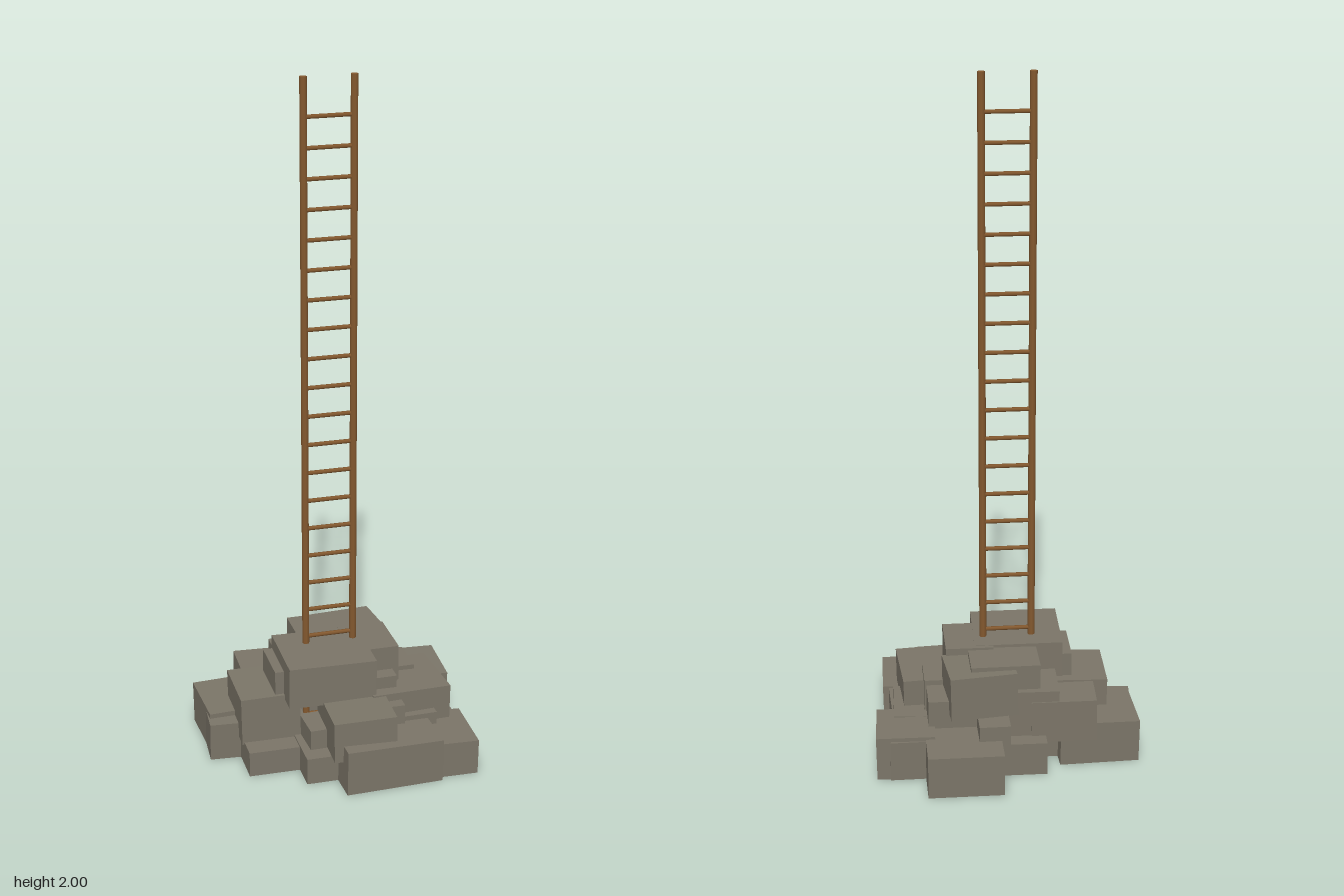
import * as THREE from 'three';

const stone = new THREE.MeshStandardMaterial({ color: 0x7b7568 });
stone.name = 'stone';
const wood = new THREE.MeshStandardMaterial({ color: 0x84592f });
wood.name = 'wood';

// A rough slab given by its extents, then turned (degrees) and cut flat at the ground
function block(name, [x0, x1, y0, y1, z0, z1, yaw = 0, roll = 0, pitch = 0]) {
  const rad = THREE.MathUtils.degToRad;
  let g = new THREE.BoxGeometry(x1 - x0, y1 - y0, z1 - z0);
  g.applyMatrix4(new THREE.Matrix4().makeRotationFromEuler(
    new THREE.Euler(rad(pitch), rad(yaw), rad(roll), 'YXZ')));
  g.translate((x0 + x1) / 2, (y0 + y1) / 2, (z0 + z1) / 2);
  const p = g.attributes.position;
  for (let i = 0; i < p.count; i++) {
    if (y0 === 0 && p.getY(i) < 0.03) p.setY(i, 0);
  }
  g = g.toNonIndexed();
  g.computeVertexNormals();
  const m = new THREE.Mesh(g, stone);
  m.name = name;
  return m;
}

// x0, x1, y0, y1, z0, z1, yaw, roll, pitch
const layers = {
  baseStone: [
    [0.025, 0.243, 0, 0.125, -0.358, -0.1, -0.5, 0, 0],
    [0.21, 0.38, 0, 0.13, -0.24, -0.055, -3, -1, 1],
    [0.2, 0.345, 0, 0.12, -0.245, -0.1, 0, 0, 0],
    [0.04, 0.345, 0, 0.108, 0.13, 0.33, -2, -1, 0],
    [-0.06, 0.228, 0, 0.132, 0.17, 0.352, 1.5, -1, 0],
    [-0.382, -0.15, 0, 0.13, -0.2, 0.01, 1.5, 1, 0],
    [-0.383, -0.2, 0, 0.115, -0.085, 0.06, -5, 0, 1],
    [-0.3, -0.09, 0, 0.075, 0.02, 0.178, -1, 0, 0],
    [-0.152, 0.02, 0, 0.08, 0.1, 0.265, -0.5, 0, 0],
    [-0.11, 0.06, 0, 0.1, -0.25, -0.02, -1, 0, 0],
    [-0.2, -0.1, 0, 0.1, -0.15, 0.1, 0, 0, 0],
    [0.07, 0.325, 0, 0.13, -0.112, 0.082, -2, 1, 0],
    [0.07, 0.33, 0, 0.1, -0.03, 0.15, 1, 0, 0],
    [-0.1, 0.1, 0, 0.1, 0.05, 0.2, 0, 0, 0],
  ],
  middleStone: [
    [-0.08, 0.105, 0.085, 0.208, 0.1, 0.315, -2.5, 1, 0],
    [0.06, 0.3, 0.09, 0.212, -0.035, 0.185, 3, -1, 0],
    [0.03, 0.255, 0.05, 0.145, 0.1, 0.21, 1, 0, 0],
    [0.05, 0.155, 0.1, 0.19, 0.1, 0.222, -2, 0, 0],
    [-0.305, -0.13, 0.07, 0.214, -0.087, 0.112, -1.5, 1, 0],
    [-0.26, -0.07, 0.08, 0.208, -0.208, -0.06, -2.5, -1, 0],
    [-0.15, 0.05, 0.1, 0.24, -0.2, -0.05, -1.5, 0, 0],
    [0.08, 0.23, 0.08, 0.21, -0.178, -0.05, -0.5, 0, 0],
    [0.05, 0.235, 0.08, 0.225, -0.07, 0.05, 0, 0, 0],
    [-0.13, -0.05, 0.05, 0.14, 0.1, 0.212, 2, 0, 0],
    [0, 0.09, 0.05, 0.17, -0.27, -0.15, 0, 0, 0],
  ],
  topStone: [
    [-0.177, 0.082, 0.2, 0.324, -0.055, 0.178, -1.5, -0.5, 0],
    [0.03, 0.17, 0.21, 0.322, -0.065, 0.104, -0.5, 0, 0],
    [-0.203, -0.1, 0.16, 0.285, -0.053, 0.103, -1, 0, 0],
    [-0.02, 0.175, 0.17, 0.302, -0.213, -0.05, 5, -1, 0],
    [-0.095, 0.106, 0.2, 0.315, -0.18, -0.04, 0, 0, 0],
    [0.05, 0.15, 0.14, 0.25, 0.05, 0.15, 0, 0, 0],
  ],
};

export function createModel() {
  const model = new THREE.Group();

  // Stepped pile of rough stones
  const pile = new THREE.Group();
  pile.name = 'stonePile';
  for (const [name, list] of Object.entries(layers)) {
    list.forEach((b, i) => pile.add(block(name + (i + 1), b)));
  }
  model.add(pile);

  // Ladder standing through the pile
  const ladder = new THREE.Group();
  ladder.name = 'ladder';
  ladder.position.set(-0.0165, 0, 0.013);
  const railGeo = new THREE.CylinderGeometry(0.0105, 0.0105, 2, 8);
  for (const s of [-1, 1]) {
    const rail = new THREE.Mesh(railGeo, wood);
    rail.name = s > 0 ? 'leftRail' : 'rightRail';
    rail.position.set(s * 0.0715, 1, 0);
    ladder.add(rail);
  }
  const rungGeo = new THREE.CylinderGeometry(0.0062, 0.0062, 0.143, 6);
  rungGeo.rotateZ(Math.PI / 2);
  for (let i = 0; i < 23; i++) {
    const rung = new THREE.Mesh(rungGeo, wood);
    rung.name = 'rung' + (i + 1);
    rung.position.y = 1.89 - i * 0.0858;
    if (rung.position.y > 0.01) ladder.add(rung);
  }
  model.add(ladder);
  return model;
}
